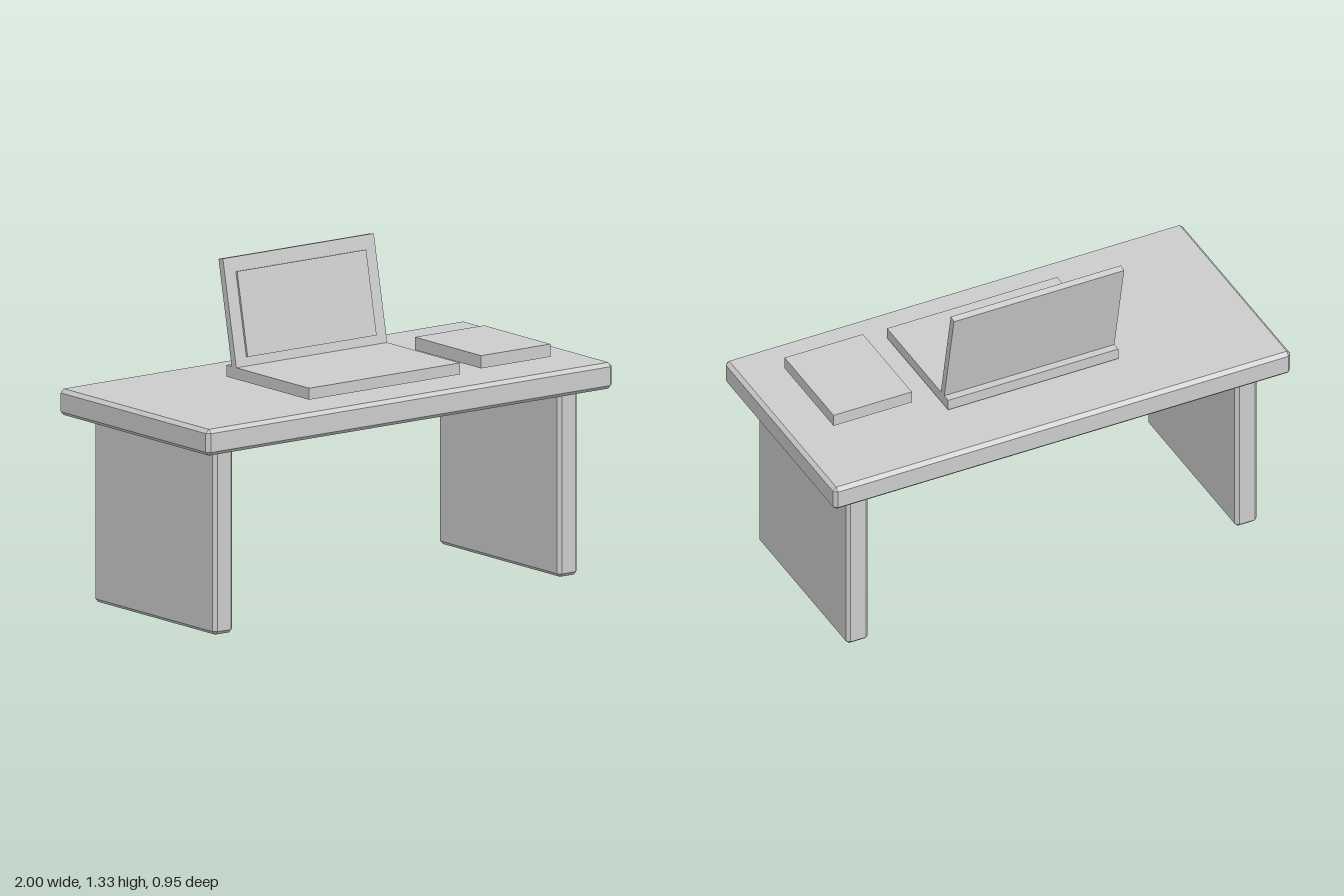
import * as THREE from 'three';
import { ConvexGeometry } from 'three/addons/geometries/ConvexGeometry.js';

const grey = new THREE.MeshStandardMaterial({ color: 0xcccccc });
grey.name = 'plain grey';

// Box with every edge cut by a flat chamfer
function chamferBox(w, h, d, c) {
  const pts = [];
  for (const sx of [-1, 1]) for (const sy of [-1, 1]) for (const sz of [-1, 1]) {
    const x = w / 2, y = h / 2, z = d / 2;
    pts.push(
      new THREE.Vector3(sx * x, sy * (y - c), sz * (z - c)),
      new THREE.Vector3(sx * (x - c), sy * y, sz * (z - c)),
      new THREE.Vector3(sx * (x - c), sy * (y - c), sz * z));
  }
  return new ConvexGeometry(pts);
}

function addPart(parent, name, geometry, x, y, z) {
  const mesh = new THREE.Mesh(geometry, grey);
  mesh.name = name;
  mesh.position.set(x, y, z);
  parent.add(mesh);
  return mesh;
}

export function createModel() {
  const model = new THREE.Group();
  model.name = 'deskWithLaptop';

  // Desk: thick top on two slab legs
  addPart(model, 'deskTop', chamferBox(2, 0.105, 0.955, 0.015), 0, 0.7975, 0);
  for (const s of [-1, 1]) {
    addPart(model, s > 0 ? 'leftLeg' : 'rightLeg',
      chamferBox(0.096, 0.78, 0.774, 0.014), s * 0.85, 0.39, 0);
  }

  // Laptop: base and a lid leaning back, with a raised screen panel
  const laptop = new THREE.Group();
  laptop.name = 'laptop';
  model.add(laptop);
  addPart(laptop, 'laptopBase', new THREE.BoxGeometry(0.744, 0.046, 0.528), 0, 0.881, 0.046);

  const lid = new THREE.Group();
  lid.name = 'laptopLid';
  lid.position.set(0, 1.325, -0.24); // top front edge of the lid
  lid.rotation.x = -0.2;
  laptop.add(lid);
  addPart(lid, 'lidShell', new THREE.BoxGeometry(0.744, 0.45, 0.029), 0, -0.225, -0.0145);
  addPart(lid, 'screen', new THREE.BoxGeometry(0.636, 0.337, 0.009), 0, -0.226, 0.0055);

  // Notepad lying beside the laptop
  addPart(model, 'notepad', new THREE.BoxGeometry(0.342, 0.051, 0.423), 0.652, 0.8915, 0.092);

  return model;
}
